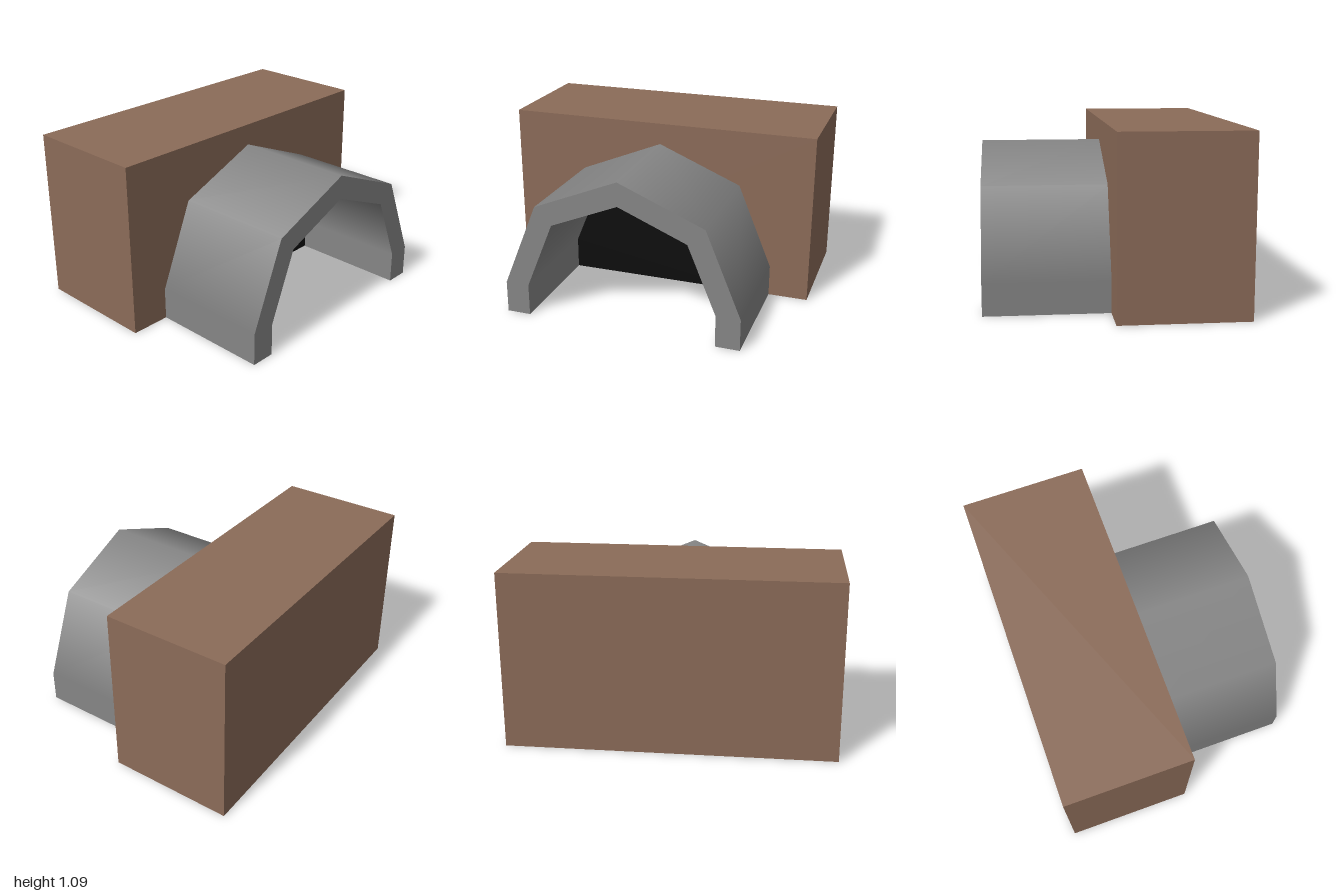
import * as THREE from 'three';

const SPRING = 0.2; // height where the arch starts to curve
const FACE = 0.015; // z of the block's front face

// Points over a four-sided half-round arch with straight legs, right to left
function archPoints(radius) {
  const points = [new THREE.Vector2(radius, 0)];
  for (let i = 0; i <= 4; i++) {
    const a = (i * Math.PI) / 4;
    points.push(new THREE.Vector2(radius * Math.cos(a), SPRING + radius * Math.sin(a)));
  }
  points.push(new THREE.Vector2(-radius, 0));
  return points;
}

// Arch band with radial normals, so the curved faces shade smoothly
function archGeometry(outer, inner, depth) {
  const shape = new THREE.Shape([...archPoints(outer), ...archPoints(inner).reverse()]);
  const geometry = new THREE.ExtrudeGeometry(shape, { depth, bevelEnabled: false });
  const p = geometry.attributes.position;
  const n = geometry.attributes.normal;
  for (let i = 0; i < p.count; i++) {
    if (Math.abs(n.getZ(i)) > 0.5 || p.getY(i) < SPRING - 0.001) continue;
    const x = p.getX(i);
    const y = p.getY(i) - SPRING;
    const r = Math.hypot(x, y);
    const s = r > (outer + inner) / 2 ? 1 / r : -1 / r;
    n.setXYZ(i, x * s, y * s, 0);
  }
  return geometry;
}

export function createModel() {
  const group = new THREE.Group();
  const material = (name, color) => {
    const m = new THREE.MeshStandardMaterial({ color });
    m.name = name;
    return m;
  };
  const brown = material('brown earth', 0x8b6b58);
  const grey = material('grey stone', 0x858585);
  const black = material('black opening', 0x0c0c0c);

  const add = (name, geometry, mat) => {
    const mesh = new THREE.Mesh(geometry, mat);
    mesh.name = name;
    group.add(mesh);
    return mesh;
  };

  // Solid block behind the entrance
  const block = add('block', new THREE.BoxGeometry(2, 1.085, 0.785), brown);
  block.position.set(0, 1.085 / 2, FACE - 0.785 / 2);

  // Arched entrance, set slightly into the block
  const arch = add('archway', archGeometry(0.75, 0.6, 0.765), grey);
  arch.position.z = 0.003;

  // Dark panel closing the back of the arch
  const opening = add('darkOpening', new THREE.ShapeGeometry(new THREE.Shape(archPoints(0.6))), black);
  opening.position.z = FACE + 0.004;

  return group;
}
